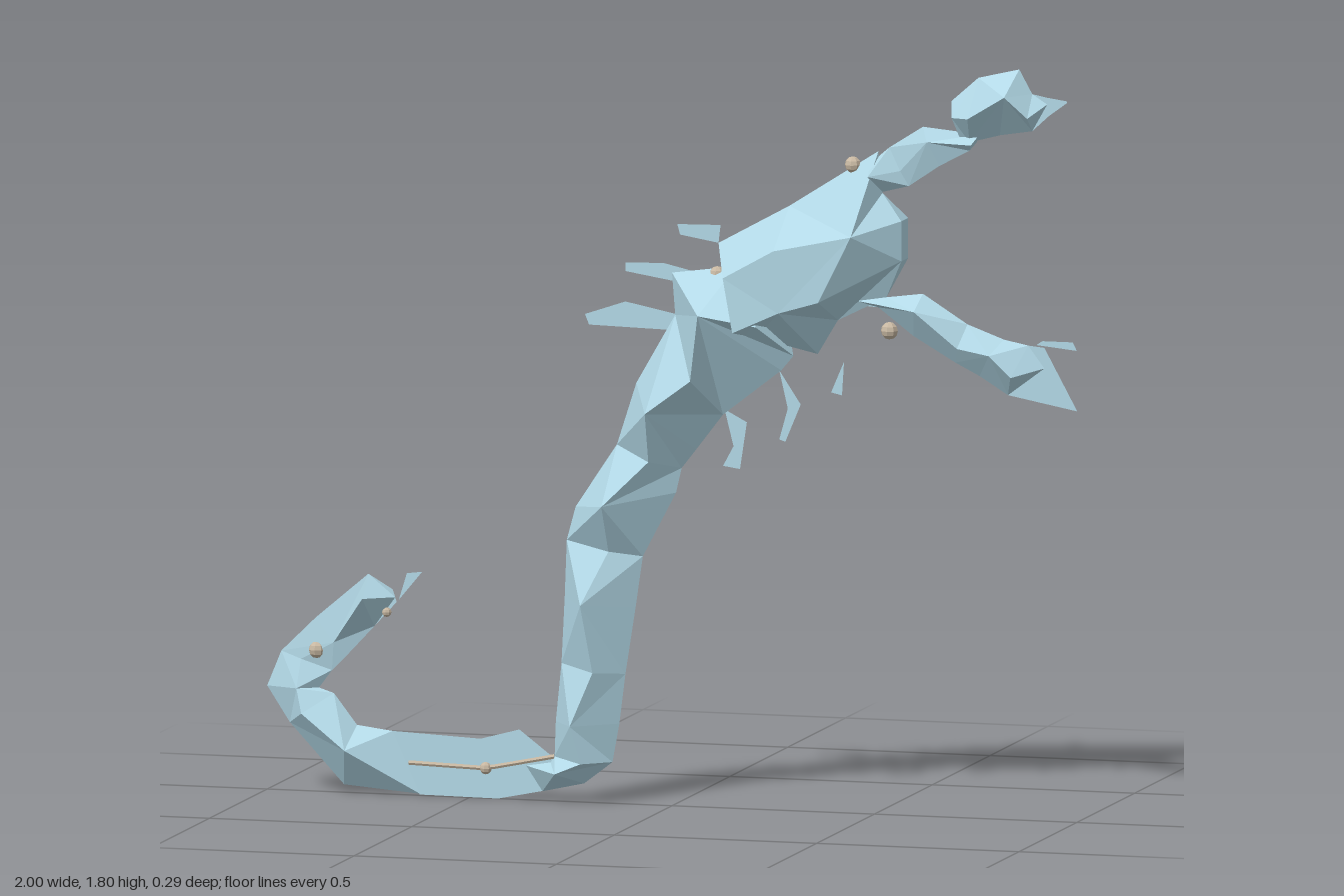
import * as THREE from 'three';

const shell = new THREE.MeshStandardMaterial({ color: 0xb2d8e6, flatShading: true, side: THREE.DoubleSide });
shell.name = 'pale blue shell';
const metal = new THREE.MeshStandardMaterial({ color: 0xc8b8a2, flatShading: true });
metal.name = 'dull bronze';

// Skin mirrored cross-sections; each row runs from upper edge to lower edge as [x, y, z]
function loft(name, rows) {
  const flat = (r) => r.map(([x, y]) => [x, y, 0]);
  const all = [flat(rows[0]), ...rows, flat(rows[rows.length - 1])];
  const pos = [];
  const tri = (a, b, c) => {
    pos.push(...a, ...b, ...c);
    for (const [x, y, z] of [a, c, b]) pos.push(x, y, -z);
  };
  for (let i = 0; i < all.length - 1; i++) {
    for (let j = 0; j < all[i].length - 1; j++) {
      const a = all[i][j], b = all[i + 1][j], c = all[i + 1][j + 1], d = all[i][j + 1];
      if ((i + j) % 2) { tri(a, b, c); tri(a, c, d); }
      else { tri(a, b, d); tri(b, c, d); }
    }
  }
  const geo = new THREE.BufferGeometry();
  geo.setAttribute('position', new THREE.Float32BufferAttribute(pos, 3));
  geo.computeVertexNormals();
  const mesh = new THREE.Mesh(geo, shell);
  mesh.name = name;
  return mesh;
}

// Diamond section: upper edge, lower edge, half depth; the ridge zigzags
const diamonds = (list) => list.map(([ax, ay, bx, by, d], i) => {
  const t = i % 2 ? 0.37 : 0.6;
  return [[ax, ay, 0], [ax + (bx - ax) * t, ay + (by - ay) * t, d], [bx, by, 0]];
});

// Flat single-sheet piece in the middle plane
function plate(name, pts) {
  const mesh = new THREE.Mesh(new THREE.ShapeGeometry(new THREE.Shape(pts.map(([x, y]) => new THREE.Vector2(x, y)))), shell);
  mesh.name = name;
  return mesh;
}

export function createModel() {
  const model = new THREE.Group();
  model.name = 'jointedCreature';

  // Chest, front to rear, with a broad flank
  model.add(loft('chest', [
    [[0.52, 1.5, 0], [0.575, 1.438, 0.03], [0.575, 1.342, 0.03], [0.53, 1.25, 0]],
    [[0.51, 1.6, 0], [0.48, 1.41, 0.137], [0.4, 1.25, 0.137], [0.41, 1.19, 0]],
    [[0.29, 1.46, 0], [0.29, 1.37, 0.14], [0.3, 1.22, 0.135], [0.36, 1.107, 0]],
    [[0.115, 1.364, 0], [0.165, 1.3, 0.14], [0.19, 1.17, 0.145], [0.21, 1.14, 0]],
  ]));

  // Belly and long body down to the bend
  model.add(loft('body', diamonds([
    [0.16, 1.31, 0.3, 1.1, 0.13],
    [0.0, 1.288, 0.27, 1.064, 0.13],
    [0.008, 1.187, 0.126, 0.952, 0.12],
    [-0.088, 1.02, 0.06, 0.866, 0.12],
    [-0.136, 0.87, 0.024, 0.82, 0.065],
    [-0.238, 0.717, 0.01, 0.76, 0.1],
    [-0.26, 0.636, -0.072, 0.604, 0.035],
    [-0.265, 0.5, -0.09, 0.48, 0.095],
    [-0.273, 0.34, -0.115, 0.32, 0.065],
    [-0.287, 0.2, -0.13, 0.2, 0.085],
    [-0.29, 0.115, -0.147, 0.107, 0.08],
    [-0.3, 0.1, -0.217, 0.053, 0.075],
    [-0.36, 0.09, -0.32, 0.03, 0],
  ])));

  // Thin tail link
  model.add(plate('tailLink', [
    [-0.29, 0.11], [-0.377, 0.176], [-0.473, 0.15], [-0.69, 0.16],
    [-0.623, 0.01], [-0.43, 0.008], [-0.313, 0.032],
  ]));

  // Curled tail end
  model.add(loft('tailHook', diamonds([
    [-0.69, 0.16, -0.623, 0.012, 0],
    [-0.778, 0.171, -0.81, 0.027, 0.07],
    [-0.835, 0.245, -0.944, 0.171, 0.055],
    [-0.872, 0.257, -1.0, 0.257, 0.03],
    [-0.84, 0.3, -0.965, 0.342, 0.006],
    [-0.805, 0.335, -0.88, 0.425, 0.012],
    [-0.735, 0.41, -0.75, 0.535, 0.075],
    [-0.68, 0.47, -0.69, 0.5, 0],
  ])));
  model.add(plate('sting', [[-0.675, 0.475], [-0.617, 0.545], [-0.655, 0.54]]));

  // Upper arm and claw
  model.add(loft('upperClaw', diamonds([
    [0.976, 1.738, 0.976, 1.734, 0],
    [0.925, 1.745, 0.93, 1.7, 0],
    [0.89, 1.752, 0.89, 1.663, 0.045],
    [0.858, 1.81, 0.81, 1.65, 0.07],
    [0.757, 1.786, 0.735, 1.63, 0.05],
    [0.69, 1.727, 0.715, 1.63, 0.03],
  ])));
  model.add(loft('upperArm', diamonds([
    [0.76, 1.65, 0.735, 1.61, 0.025],
    [0.62, 1.663, 0.66, 1.57, 0.02],
    [0.537, 1.61, 0.585, 1.519, 0.008],
    [0.49, 1.57, 0.51, 1.5, 0.05],
  ])));

  // Lower arm and claw
  model.add(loft('lowerArm', diamonds([
    [1.0, 0.997, 1.0, 0.995, 0],
    [0.92, 1.144, 0.92, 1.01, 0],
    [0.88, 1.148, 0.83, 1.027, 0.05],
    [0.82, 1.16, 0.76, 1.07, 0.055],
    [0.73, 1.193, 0.7, 1.1, 0.03],
    [0.62, 1.262, 0.596, 1.16, 0.05],
    [0.53, 1.25, 0.51, 1.225, 0.03],
    [0.43, 1.25, 0.43, 1.23, 0],
  ])));
  model.add(plate('clawFinger', [[0.9, 1.15], [1.0, 1.14], [0.99, 1.16], [0.915, 1.16]]));

  // Flat spines along the back and belly
  const spines = [
    [[0.013, 1.405], [0.12, 1.407], [0.115, 1.364], [0.02, 1.38]],
    [[-0.115, 1.308], [-0.02, 1.31], [0.072, 1.289], [0.01, 1.267], [-0.115, 1.287]],
    [[-0.215, 1.18], [-0.115, 1.214], [0.02, 1.187], [0.0, 1.15], [-0.205, 1.155]],
    [[0.13, 0.965], [0.185, 0.936], [0.168, 0.823], [0.126, 0.829], [0.152, 0.877]],
    [[0.265, 1.064], [0.318, 0.984], [0.28, 0.893], [0.265, 0.898], [0.286, 0.973]],
    [[0.425, 1.091], [0.42, 1.01], [0.393, 1.016]],
  ];
  spines.forEach((pts, i) => model.add(plate(i < 3 ? 'backSpine' : 'bellySpine', pts)));

  // Joint beads
  const beads = [
    [0.447, 1.565, 0.02], [0.112, 1.288, 0.02], [0.537, 1.17, 0.021],
    [-0.46, 0.08, 0.015], [-0.877, 0.348, 0.021], [-0.705, 0.445, 0.012],
  ];
  for (const [x, y, r] of beads) {
    const bead = new THREE.Mesh(new THREE.SphereGeometry(r, 8, 6), metal);
    bead.position.set(x, y, 0);
    bead.name = 'jointBead';
    model.add(bead);
  }

  // Rod through the tail link
  const path = new THREE.CurvePath();
  const rod = [[-0.65, 0.086], [-0.46, 0.08], [-0.29, 0.115]].map(([x, y]) => new THREE.Vector3(x, y, 0));
  path.add(new THREE.LineCurve3(rod[0], rod[1]));
  path.add(new THREE.LineCurve3(rod[1], rod[2]));
  const tailRod = new THREE.Mesh(new THREE.TubeGeometry(path, 12, 0.006, 6), metal);
  tailRod.name = 'tailRod';
  model.add(tailRod);

  return model;
}
